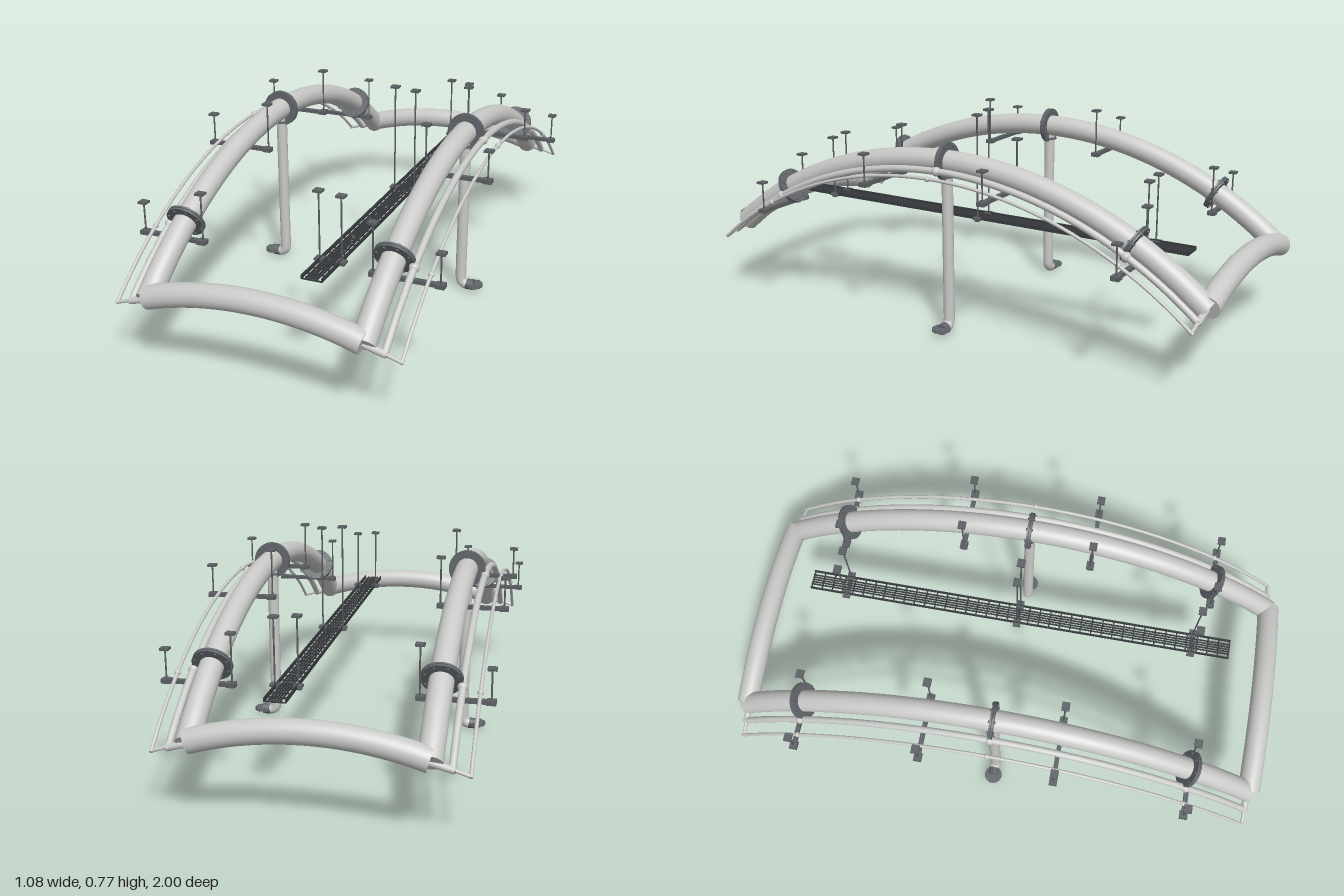
import * as THREE from 'three';

const mat = (name, color) => Object.assign(new THREE.MeshStandardMaterial({ color }), { name });

export function createModel() {
  const root = new THREE.Group();
  root.name = 'pipeFrame';
  const pipeMat = mat('pipe grey', 0xc9c9c8);
  const flangeMat = mat('flange steel', 0x62676c);
  const steelMat = mat('support steel', 0x5c6064);
  const trayMat = mat('tray dark', 0x3a3d40);

  const add = (name, geo, material, x = 0, y = 0, z = 0, parent = root) => {
    const m = new THREE.Mesh(geo, material);
    m.name = name;
    m.position.set(x, y, z);
    parent.add(m);
    return m;
  };
  const box = (name, w, h, d, x, y, z, material = steelMat) =>
    add(name, new THREE.BoxGeometry(w, h, d), material, x, y, z);

  // Capped tube along a list of points
  const tube = (name, pts, r, segs, material = pipeMat, sides = 28) => {
    const curve = new THREE.CatmullRomCurve3(pts);
    const g = new THREE.Group();
    g.name = name;
    root.add(g);
    add(name + 'Wall', new THREE.TubeGeometry(curve, segs, r, sides), material, 0, 0, 0, g);
    for (const t of [0, 1]) {
      const p = curve.getPointAt(t);
      const dir = curve.getTangentAt(t).multiplyScalar(t ? 1 : -1);
      const cap = add(name + 'Cap', new THREE.CircleGeometry(r, sides), material, p.x, p.y, p.z, g);
      cap.quaternion.setFromUnitVectors(new THREE.Vector3(0, 0, 1), dir);
    }
  };
  const rod = (name, a, b, r, material = pipeMat, sides = 12) =>
    tube(name, [new THREE.Vector3(...a), new THREE.Vector3(...b)], r, 1, material, sides);

  // Circular arch: drop below its crown at distance d
  const drop = (d, R) => R - Math.sqrt(R * R - d * d);
  const R = 1.475, HALF = 0.96;
  const arch = (name, x, top, r, sides) => {
    const pts = [];
    for (let i = 0; i <= 24; i++) {
      const z = -HALF + (2 * HALF * i) / 24;
      pts.push(new THREE.Vector3(x, top - drop(z, R), z));
    }
    tube(name, pts, r, 56, pipeMat, sides);
  };

  // Bolted flange pair, axis along local z
  const flange = (name, radius, thick, boltLen, x, y, z) => {
    const g = new THREE.Group();
    g.name = name;
    g.position.set(x, y, z);
    root.add(g);
    for (const s of [-1, 1]) {
      add('flangeDisc', new THREE.CylinderGeometry(radius, radius, thick * 0.42, 36), flangeMat,
        0, 0, s * thick * 0.27, g).rotation.x = Math.PI / 2;
    }
    for (let i = 0; i < 8; i++) {
      const a = ((i + 0.5) * Math.PI) / 4;
      add('flangeBolt', new THREE.CylinderGeometry(radius * 0.07, radius * 0.07, boltLen, 6), flangeMat,
        Math.cos(a) * radius * 0.85, Math.sin(a) * radius * 0.85, 0, g).rotation.x = Math.PI / 2;
    }
    return g;
  };

  // Hanger rod with its ceiling plate
  const hanger = (x, y0, y1, z) => {
    rod('hangerRod', [x, y0, z], [x, y1, z], 0.003, steelMat, 8);
    box('ceilingPlate', 0.03, 0.008, 0.028, x, y1, z);
  };

  for (const s of [-1, 1]) {
    // Main arched pipe with two smaller pipes outside it
    const x = s * 0.37;
    arch('mainPipe', x, 0.625, 0.04, 32);
    arch('middlePipe', s * 0.435, 0.602, 0.012, 14);
    arch('outerPipe', s * 0.49, 0.588, 0.006, 10);

    // Flanges and couplings
    for (const z of [-0.71, 0, 0.71]) {
      const f = flange('mainFlange', 0.067, 0.016, 0.026, x, 0.625 - drop(z, R), z);
      f.rotation.x = Math.asin(z / R);
      add('middleCoupling', new THREE.SphereGeometry(0.017, 14, 10), pipeMat,
        s * 0.435, 0.602 - drop(z, R), z);
      add('outerCoupling', new THREE.SphereGeometry(0.01, 12, 8), pipeMat,
        s * 0.49, 0.588 - drop(z, R), z);
    }

    // Slanted links joining the pipe ends
    for (const z of [-0.955, 0.955]) {
      rod('middleLink', [s * 0.442, 0.25, z], [s * 0.36, 0.272, z], 0.012);
      rod('outerLink', [s * 0.494, 0.234, z], [s * 0.43, 0.254, z], 0.006);
    }

    // Vertical drop pipe with elbow, end collar and small flange
    const pts = [new THREE.Vector3(x, 0.6, 0), new THREE.Vector3(x, 0.3, 0)];
    for (let i = 0; i <= 6; i++) {
      const a = (i * Math.PI) / 12;
      pts.push(new THREE.Vector3(x + s * 0.024 * (1 - Math.cos(a)), 0.044 - 0.024 * Math.sin(a), 0));
    }
    tube('dropPipe', pts, 0.02, 60, pipeMat, 24);
    add('dropPipeTopCollar', new THREE.CylinderGeometry(0.027, 0.027, 0.008, 24), flangeMat, x, 0.573, 0);
    add('dropPipeEnd', new THREE.CylinderGeometry(0.02, 0.02, 0.03, 24), flangeMat,
      s * 0.406, 0.02, 0).rotation.z = Math.PI / 2;
    flange('dropPipeFlange', 0.033, 0.009, 0.018, s * 0.422, 0.022, 0).rotation.x = Math.PI / 2;

    // Trapeze supports
    for (const [z, y] of [[-0.72, 0.38], [-0.24, 0.545], [0.24, 0.545], [0.72, 0.38]]) {
      box('supportBar', 0.25, 0.014, 0.016, s * 0.415, y, z);
      for (const px of [0.525, 0.307]) box('supportBarEnd', 0.03, 0.015, 0.028, s * px, y, z);
      hanger(s * 0.525, y, y + 0.108, z);
      hanger(s * 0.303, y, y + 0.172, z);
    }

    // Arched cross pipe at each end
    const cross = [];
    for (let i = 0; i <= 16; i++) {
      const cx = -0.37 + (0.74 * i) / 16;
      cross.push(new THREE.Vector3(cx, 0.337 - drop(cx, 1.21), s * 0.96));
    }
    tube('crossPipe', cross, 0.04, 36, pipeMat, 32);
  }

  // Cable tray: side rails, lengthwise wires and rungs
  const LEN = 1.63, TX = 0.136;
  for (const s of [-1, 1]) box('trayRail', 0.004, 0.014, LEN, TX + s * 0.035, 0.372, 0, trayMat);
  for (let i = -2; i <= 2; i++) box('trayWire', 0.005, 0.005, LEN, TX + i * 0.0095, 0.372, 0, trayMat);
  for (let i = 0; i <= 40; i++) {
    box('trayRung', 0.07, 0.004, 0.005, TX, 0.367, -LEN / 2 + 0.0025 + (i * (LEN - 0.005)) / 40, trayMat);
  }

  // Tray hangers
  for (const z of [-0.67, 0, 0.67]) {
    const top = z === 0 ? 0.762 : 0.607;
    box('trayBar', 0.1, 0.006, 0.014, TX, 0.363, z);
    for (const [px, dy] of [[0.098, 0], [0.176, -0.007]]) {
      box('trayBracket', 0.03, 0.008, 0.028, px, 0.372, z);
      hanger(px, 0.365, top + dy, z);
    }
  }
  return root;
}
